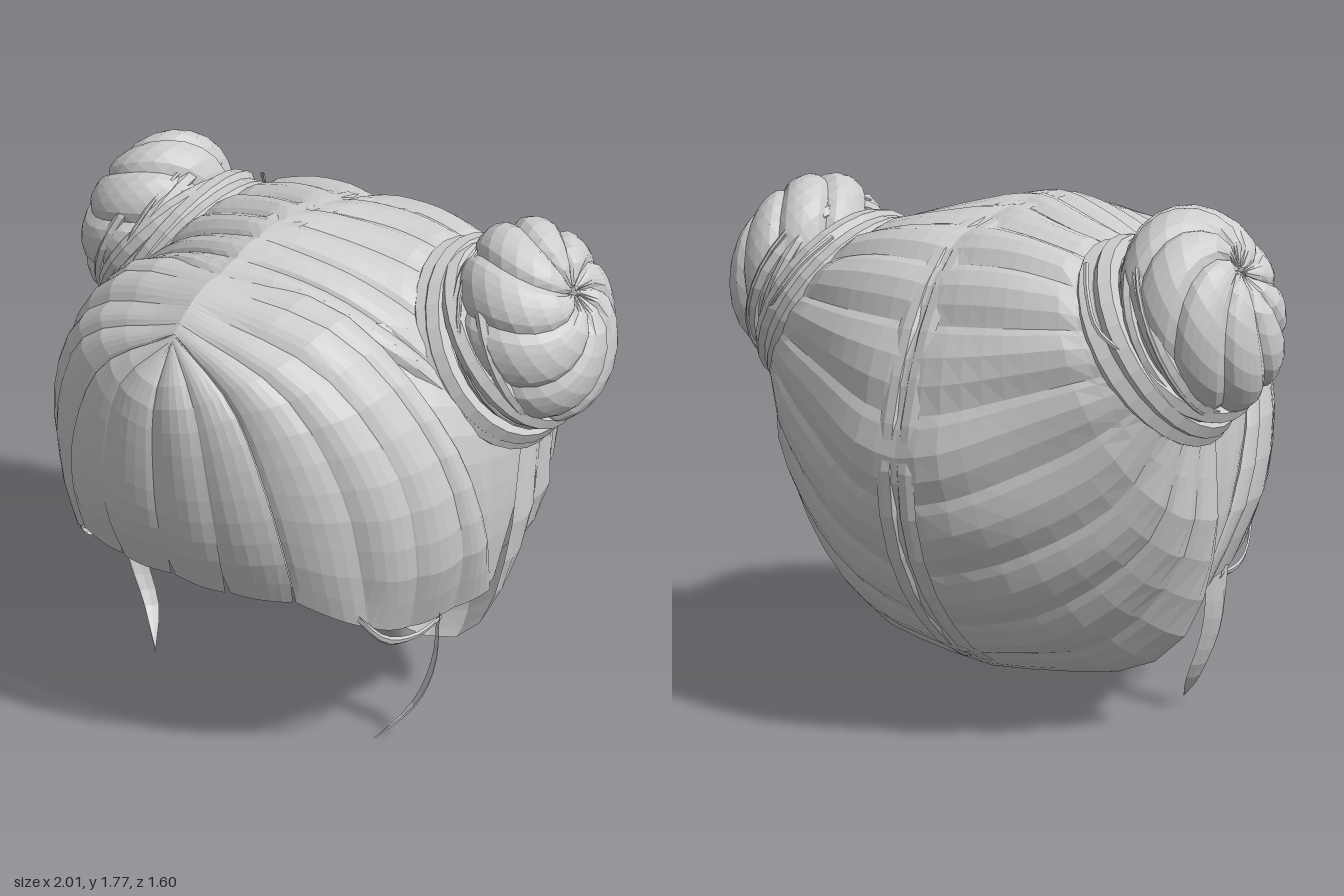
import * as THREE from 'three';

const hair = new THREE.MeshStandardMaterial({ color: 0xcccccc, side: THREE.DoubleSide });
hair.name = 'hair grey';
const HEAD = new THREE.Vector3(0, 0.95, -0.05);

// Faceted grid surface: fn(u, v) returns a Vector3
function grid(n, m, fn) {
  const pos = [], idx = [];
  for (let i = 0; i <= n; i++)
    for (let j = 0; j <= m; j++) pos.push(...fn(i / n, j / m).toArray());
  for (let i = 0; i < n; i++)
    for (let j = 0; j < m; j++) {
      const a = i * (m + 1) + j, b = a + m + 1;
      idx.push(a, a + 1, b, b, a + 1, b + 1);
    }
  const g = new THREE.BufferGeometry();
  g.setAttribute('position', new THREE.Float32BufferAttribute(pos, 3));
  g.setIndex(idx);
  return g;
}

// Adds a part on the left and its mirror image on the right
function addPair(root, name, geo) {
  const left = geo.toNonIndexed();
  left.deleteAttribute('uv');
  const right = left.clone().scale(-1, 1, 1);
  const p = right.attributes.position, b = new THREE.Vector3(), c = new THREE.Vector3();
  for (let i = 0; i < p.count; i += 3) {
    b.fromBufferAttribute(p, i + 1);
    c.fromBufferAttribute(p, i + 2);
    p.setXYZ(i + 1, c.x, c.y, c.z);
    p.setXYZ(i + 2, b.x, b.y, b.z);
  }
  for (const [g, side] of [[left, 'Left'], [right, 'Right']]) {
    g.computeVertexNormals();
    const mesh = new THREE.Mesh(g, hair);
    mesh.name = name + side;
    root.add(mesh);
  }
}

// Lofts guide curves into a sheet of overlapping, rounded strands
function addSheet(root, name, guides, strands, { along = 10, across = 3, amp = 0.02, gap = 0 } = {}) {
  const curves = guides.map(g => new THREE.CatmullRomCurve3(g.map(p => new THREE.Vector3(...p))));
  const rows = [];
  for (let j = 0; j <= along; j++)
    rows.push(new THREE.CatmullRomCurve3(curves.map(c => c.getPointAt(j / along))));
  for (let s = 0; s < strands; s++) {
    addPair(root, name + (s + 1), grid(across, along, (t, v) => {
      const w = 0.5 + (t - 0.5) * (1.16 - gap * v ** 6);
      const u = THREE.MathUtils.clamp((s + w) / strands, 0, 1);
      const p = rows[Math.round(v * along)].getPoint(u);
      const out = p.clone().sub(HEAD).normalize();
      const lift = amp * (0.8 * Math.sin(Math.PI * t) + 0.4 * t - 0.2) * Math.min(1, 5 * v, 0.4 + 4 * (1 - v));
      return p.addScaledVector(out, lift);
    }));
  }
}

export function createModel() {
  const model = new THREE.Group();
  model.name = 'hair';
  const part = name => {
    const g = new THREE.Group();
    g.name = name;
    model.add(g);
    return g;
  };

  // Straight fringe falling from the parting
  const bangEdge = [[0, 1.525, 0.665], [0.25, 1.37, 0.71], [0.38, 1.1, 0.71], [0.42, 0.9, 0.68], [0.43, 0.71, 0.63]];
  addSheet(part('fringe'), 'fringeStrand', [
    [[0, 1.5, 0.68], [0, 1.35, 0.77], [0, 1.1, 0.79], [0, 0.9, 0.77], [0, 0.7, 0.7]],
    [[0, 1.51, 0.675], [0.13, 1.36, 0.755], [0.19, 1.1, 0.775], [0.21, 0.9, 0.755], [0.21, 0.7, 0.69]],
    bangEdge,
  ], 2, { along: 12, across: 6, amp: 0.022, gap: 0.24 });

  // Side locks sweeping from the parting round to the ears
  addSheet(part('sideLocks'), 'sideLock', [
    bangEdge,
    [[0, 1.55, 0.64], [0.38, 1.4, 0.63], [0.55, 1.1, 0.58], [0.58, 0.85, 0.53], [0.58, 0.6, 0.47]],
    [[0, 1.59, 0.59], [0.45, 1.44, 0.52], [0.66, 1.12, 0.43], [0.69, 0.8, 0.37], [0.63, 0.53, 0.3]],
    [[0, 1.635, 0.5], [0.44, 1.52, 0.4], [0.7, 1.15, 0.27], [0.74, 0.8, 0.17], [0.66, 0.5, 0.08]],
    [[0, 1.645, 0.38], [0.4, 1.55, 0.3], [0.69, 1.2, 0.19], [0.75, 0.85, 0.05], [0.7, 0.5, -0.1]],
  ], 4, { along: 12, across: 6, amp: 0.026 });

  // Smooth hair between the side locks and the buns
  addSheet(part('temples'), 'temple', [
    [[0.38, 1.54, 0.3], [0.68, 1.2, 0.22], [0.73, 0.85, 0.1], [0.69, 0.52, 0]],
    [[0.5, 1.48, 0.1], [0.71, 1.2, 0.05], [0.745, 0.85, -0.02], [0.71, 0.54, -0.08]],
    [[0.55, 1.4, -0.2], [0.72, 1.15, -0.22], [0.74, 0.9, -0.2], [0.71, 0.55, -0.11]],
  ], 2, { amp: 0.008 });

  // Crown and back: strands drawn from the centre seam to the bun
  addSheet(part('backHair'), 'backStrand', [
    [[0.68, 1.25, 0.1], [0.5, 1.45, 0.27], [0.25, 1.58, 0.36], [0, 1.62, 0.46]],
    [[0.6, 1.38, 0.1], [0.33, 1.57, 0.2], [0, 1.68, 0.3]],
    [[0.48, 1.56, -0.04], [0.25, 1.64, 0.03], [0, 1.71, 0.12]],
    [[0.45, 1.6, -0.23], [0.25, 1.645, -0.22], [0, 1.69, -0.12]],
    [[0.49, 1.54, -0.44], [0.25, 1.6, -0.47], [0, 1.6, -0.47]],
    [[0.58, 1.4, -0.54], [0.3, 1.38, -0.63], [0, 1.36, -0.66]],
    [[0.69, 1.23, -0.53], [0.4, 1.09, -0.65], [0.15, 0.98, -0.76], [0, 0.95, -0.785]],
    [[0.76, 1.12, -0.44], [0.63, 0.88, -0.5], [0.33, 0.68, -0.62], [0, 0.57, -0.68]],
    [[0.78, 1.06, -0.31], [0.71, 0.71, -0.34], [0.42, 0.42, -0.42], [0, 0.3, -0.46]],
    [[0.77, 1.05, -0.14], [0.75, 0.65, -0.1], [0.66, 0.36, -0.11], [0.5, 0.22, -0.14], [0.25, 0.18, -0.18], [0, 0.15, -0.21]],
  ], 13, { along: 10, across: 4, amp: 0.036 });

  // Flat bands either side of the centre seam
  const seam = [[1.71, 0.1], [1.695, -0.12], [1.6, -0.48], [1.37, -0.665], [1, -0.785], [0.8, -0.775], [0.57, -0.69], [0.3, -0.465], [0.16, -0.22]];
  addSheet(part('centreSeam'), 'seamBand', [0.005, 0.07].map(x => seam.map(([y, z]) => [x, y, z])), 1,
    { along: 16, amp: 0.014 });

  // Loose wisps hanging in front of the ears
  const wisps = part('wisps');
  addSheet(wisps, 'hangingWisp', [
    [[0.67, 0.52, 0.16], [0.65, 0.3, 0.155], [0.58, 0.13, 0.16], [0.47, 0.0, 0.23]],
    [[0.62, 0.52, 0.1], [0.605, 0.3, 0.1], [0.54, 0.11, 0.115], [0.47, 0.0, 0.23]],
  ], 1, { amp: 0.012 });
  addSheet(wisps, 'jawWisp', [
    [[0.58, 0.65, 0.5], [0.62, 0.54, 0.4], [0.65, 0.5, 0.28], [0.66, 0.5, 0.13]],
    [[0.57, 0.63, 0.5], [0.61, 0.51, 0.4], [0.64, 0.475, 0.28], [0.65, 0.475, 0.13]],
  ], 1, { amp: 0.01 });

  // Buns, built upright and then tilted outwards
  const buns = part('buns');
  const tilt = new THREE.Matrix4().makeBasis(
    new THREE.Vector3(0.536, -0.844, 0), new THREE.Vector3(0.844, 0.536, 0), new THREE.Vector3(0, 0, 1)
  ).setPosition(0.63, 1.35, -0.22);

  // Coiled ball with lobes swirling out from a dimple
  const lobes = 8;
  addPair(buns, 'bunCoil', grid(lobes * 6, 12, (u, v) => {
    const p = 0.06 + v * 2.5, a = 2 * Math.PI * u + 0.7 * p;
    const ridge = 0.92 + 0.08 * Math.sqrt(Math.abs(Math.sin(lobes * Math.PI * u)));
    const r = 0.33 * Math.sin(p) * ridge;
    const y = 0.165 + 0.23 * Math.cos(p) * ridge - 0.05 * Math.exp(-((p / 0.25) ** 2));
    return new THREE.Vector3(-0.015 - 0.04 * Math.cos(p) + r * Math.cos(a), y, 0.93 * r * Math.sin(a));
  }).applyMatrix4(tilt));

  // Wrapped strands: radius, thickness, height, lean about x and z
  [
    [0.315, 0.045, -0.03, 0, 0], [0.31, 0.04, 0.015, 0.06, -0.03], [0.295, 0.035, 0.06, -0.1, 0.08],
    [0.29, 0.028, 0.1, 0.12, -0.1], [0.295, 0.02, 0.12, -0.14, -0.15], [0.315, 0.007, 0.11, 0.1, -0.15],
  ].forEach(([radius, tube, y, rx, rz], i) => addPair(buns, 'bunWrap' + (i + 1),
    new THREE.TorusGeometry(radius, tube, 6, 28).rotateX(Math.PI / 2 + rx).rotateZ(rz)
      .translate(0, y, 0).applyMatrix4(tilt)));

  // Small stray loop behind each bun
  const loop = new THREE.CatmullRomCurve3([
    [0.48, 1.6, -0.45], [0.54, 1.52, -0.54], [0.6, 1.43, -0.58], [0.7, 1.34, -0.54],
  ].map(p => new THREE.Vector3(...p)));
  addPair(buns, 'strayLoop', new THREE.TubeGeometry(loop, 12, 0.008, 5));

  return model;
}
